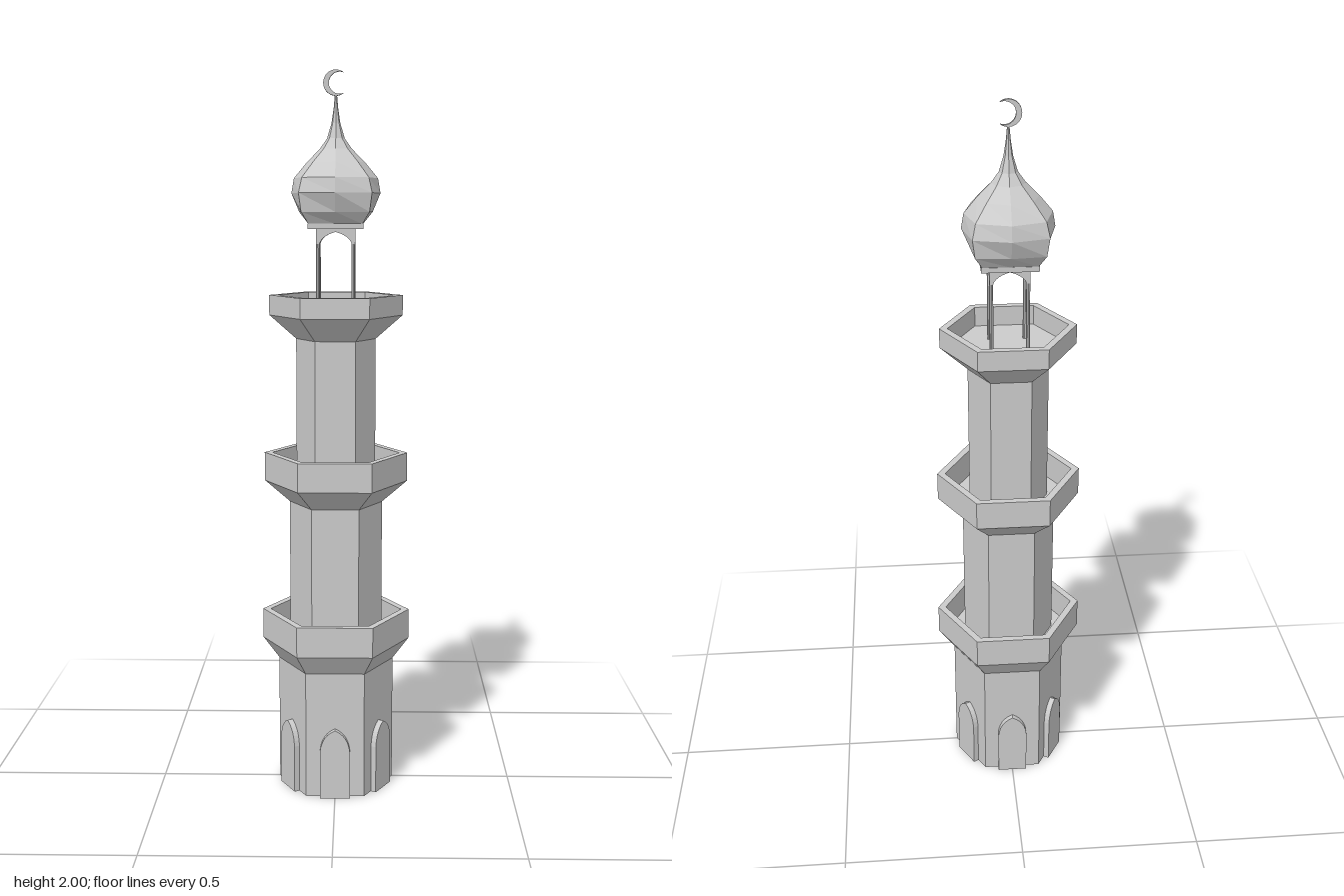
import * as THREE from 'three';

const mat = new THREE.MeshStandardMaterial({ color: 0xcccccc, flatShading: true, side: THREE.DoubleSide });

function add(parent, name, geometry, x = 0, y = 0, z = 0) {
  const mesh = new THREE.Mesh(geometry, mat);
  mesh.name = name;
  mesh.position.set(x, y, z);
  parent.add(mesh);
  return mesh;
}

// Revolved profile; six-sided ones have corners on the x axis
function lathe(points, sides, start = 0) {
  return new THREE.LatheGeometry(points.map(([r, y]) => new THREE.Vector2(r, y)), sides, start);
}
const hex = (points) => lathe(points, 6, Math.PI / 6);

// Pointed arch outline, from the base up
function lancet(path, w, base, spring, top) {
  path.moveTo(-w, base);
  path.lineTo(w, base);
  path.lineTo(w, spring);
  path.quadraticCurveTo(w * 0.9, spring + (top - spring) * 0.75, 0, top);
  path.quadraticCurveTo(-w * 0.9, spring + (top - spring) * 0.75, -w, spring);
  path.closePath();
  return path;
}

// Octagonal onion dome that grows out of a square base
function onionDome() {
  const g = lathe([
    [0, 1.593], [0.074, 1.593], [0.1, 1.625], [0.121, 1.675], [0.114, 1.715], [0.079, 1.757],
    [0.044, 1.792], [0.024, 1.82], [0.012, 1.86], [0.006, 1.9], [0.003, 1.935], [0, 1.935],
  ], 8);
  const p = g.attributes.position;
  for (let i = 0; i < p.count; i++) {
    const x = p.getX(i), y = p.getY(i), z = p.getZ(i);
    if (Math.min(Math.abs(x), Math.abs(z)) < 1e-4) continue;
    // corner edges stand further out near the base
    const k = y < 1.675
      ? THREE.MathUtils.mapLinear(y, 1.593, 1.675, 1.38, 1.14)
      : THREE.MathUtils.clamp(THREE.MathUtils.mapLinear(y, 1.675, 1.82, 1.14, 1), 1, 1.14);
    p.setXYZ(i, x * k, y, z * k);
  }
  g.computeVertexNormals();
  return g;
}

function crescent() {
  const R = 0.034, r = 0.029, d = 0.01;
  const cx = (R * R - r * r + d * d) / (2 * d);
  const a = Math.acos(cx / R), b = Math.atan2(R * Math.sin(a), cx - d);
  const s = new THREE.Shape();
  s.absarc(0, 0, R, a, 2 * Math.PI - a, false);
  s.absarc(d, 0, r, 2 * Math.PI - b, b, true);
  return new THREE.ExtrudeGeometry(s, { depth: 0.008, bevelEnabled: false, curveSegments: 20 }).translate(0, 0, -0.004);
}

export function createModel() {
  const model = new THREE.Group();
  model.name = 'minaret';

  // Three tiers: shaft radius, base, flare start, parapet start, rim height, rim radius
  const tiers = [
    ['lower', 0.163, 0, 0.36, 0.42, 0.505, 0.208],
    ['middle', 0.13, 0.42, 0.82, 0.88, 0.96, 0.2],
    ['upper', 0.11, 0.88, 1.28, 1.345, 1.4, 0.184],
  ];
  for (const [name, r, base, flare, floor, rim, R] of tiers) {
    add(model, name + 'Shaft', hex([[0, base], [r, base], [r, flare]]));
    add(model, name + 'Balcony', hex([
      [r, flare], [R, floor], [R, rim], [R - 0.022, rim], [R - 0.022, floor], [0, floor],
    ]));
  }

  // Raised arched panels on each face of the base
  const panel = new THREE.ExtrudeGeometry(lancet(new THREE.Shape(), 0.042, 0, 0.135, 0.2),
    { depth: 0.017, bevelEnabled: false, curveSegments: 6 });
  for (let i = 0; i < 6; i++) {
    const pivot = new THREE.Group();
    pivot.name = 'archedPanel';
    pivot.rotation.y = i * Math.PI / 3;
    add(pivot, 'panel', panel, 0, 0, 0.14);
    model.add(pivot);
  }

  // Open pavilion: four posts joined by arches
  const post = new THREE.CylinderGeometry(0.005, 0.005, 0.24, 8);
  for (const x of [-0.048, 0.048]) {
    for (const z of [-0.048, 0.048]) add(model, 'pavilionPost', post, x, 1.465, z);
  }
  const arch = new THREE.Shape();
  arch.moveTo(-0.053, 1.54);
  arch.lineTo(-0.044, 1.54);
  arch.quadraticCurveTo(-0.036, 1.562, 0, 1.572);
  arch.quadraticCurveTo(0.036, 1.562, 0.044, 1.54);
  arch.lineTo(0.053, 1.54);
  arch.lineTo(0.053, 1.585);
  arch.lineTo(-0.053, 1.585);
  const archGeometry = new THREE.ExtrudeGeometry(arch, { depth: 0.01, bevelEnabled: false, curveSegments: 6 });
  for (let i = 0; i < 4; i++) {
    const side = new THREE.Group();
    side.name = 'pavilionArch';
    side.rotation.y = i * Math.PI / 2;
    add(side, 'arch', archGeometry, 0, 0, 0.043);
    model.add(side);
  }
  add(model, 'cornice', new THREE.BoxGeometry(0.15, 0.014, 0.15), 0, 1.587, 0);

  // Dome and finial
  add(model, 'onionDome', onionDome());
  add(model, 'crescentFinial', crescent(), 0, 1.966, 0);

  return model;
}
